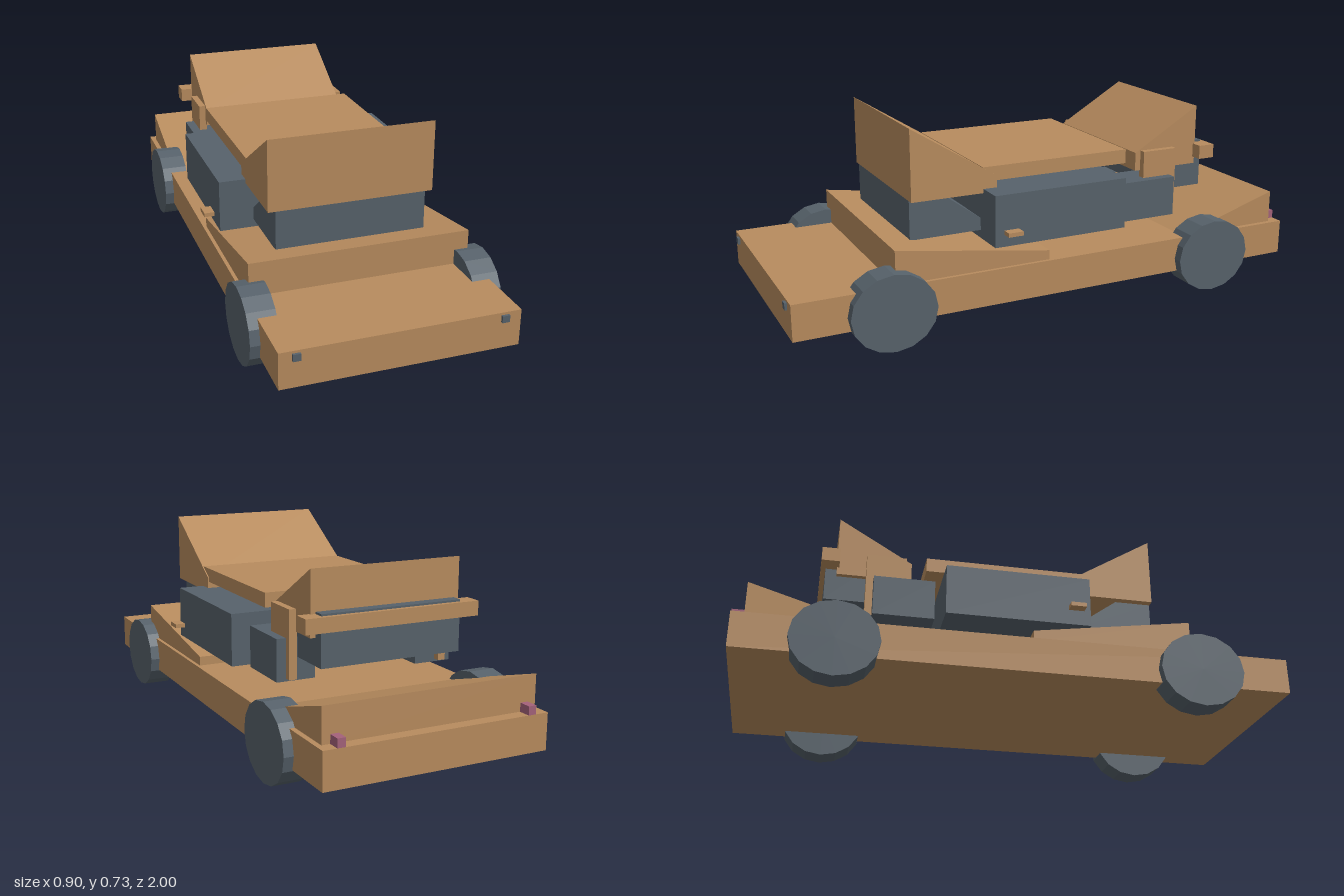
import * as THREE from 'three';

export function createModel() {
  const model = new THREE.Group();
  const mat = (name, color) => {
    const m = new THREE.MeshStandardMaterial({ color });
    m.name = name;
    return m;
  };
  const tan = mat('tan body', 0xb88c5e);
  const slate = mat('slate grey', 0x57626b);
  const pink = mat('tail light pink', 0xa4627a);

  const add = (name, geometry, material) => {
    const mesh = new THREE.Mesh(geometry, material);
    mesh.name = name;
    model.add(mesh);
    return mesh;
  };
  // Box given by its limits on each axis
  const box = (name, material, [x0, x1], [y0, y1], [z0, z1]) => {
    const g = new THREE.BoxGeometry(x1 - x0, y1 - y0, z1 - z0);
    g.translate((x0 + x1) / 2, (y0 + y1) / 2, (z0 + z1) / 2);
    return add(name, g, material);
  };
  // Box on both sides of the car
  const pair = (name, material, [x0, x1], ys, zs) => {
    box('left' + name, material, [x0, x1], ys, zs);
    box('right' + name, material, [-x1, -x0], ys, zs);
  };
  // Side profile of (z, y) points, extruded across the width
  const profile = (name, material, halfWidth, points) => {
    const shape = new THREE.Shape(points.map(([z, y]) => new THREE.Vector2(-z, y)));
    const g = new THREE.ExtrudeGeometry(shape, { depth: halfWidth * 2, bevelEnabled: false });
    g.translate(0, 0, -halfWidth);
    g.rotateY(Math.PI / 2);
    return add(name, g, material);
  };

  // Lower body with sloping bonnet and boot
  box('chassis', tan, [-0.415, 0.415], [0.09, 0.221], [-1, 0.988]);
  profile('bonnet', tan, 0.402, [[0.625, 0.215], [0.625, 0.344], [0.04, 0.255], [0.04, 0.215]]);
  profile('boot', tan, 0.396, [[-0.955, 0.215], [-0.955, 0.344], [-0.54, 0.221], [-0.54, 0.215]]);

  // Cabin glass
  box('sideWindows', slate, [-0.4, 0.4], [0.295, 0.485], [-0.275, 0.253]);
  profile('windscreen', slate, 0.275, [[0.524, 0.325], [0.524, 0.47], [0.39, 0.47], [0.19, 0.325]]);
  pair('RearSideWindow', slate, [0.2, 0.343], [0.295, 0.445], [-0.527, -0.307]);
  box('rearWindow', slate, [-0.265, 0.265], [0.375, 0.556], [-0.698, -0.5]);

  // Roof, its two upswept ends and the rear pillars
  box('roof', tan, [-0.298, 0.298], [0.51, 0.563], [-0.335, 0.253]);
  profile('frontRoofWedge', tan, 0.302, [[0.525, 0.47], [0.525, 0.73], [0.2, 0.528], [0.2, 0.47]]);
  profile('rearRoofWedge', tan, 0.284, [[-0.658, 0.47], [-0.658, 0.698], [-0.388, 0.54], [-0.388, 0.47]]);
  pair('RearPillar', tan, [0.28, 0.309], [0.305, 0.547], [-0.553, -0.41]);
  box('rearSpoiler', tan, [-0.329, 0.329], [0.497, 0.549], [-0.715, -0.65]);

  // Mirrors and lights
  pair('Mirror', tan, [0.413, 0.45], [0.345, 0.36], [0.168, 0.225]);
  pair('Headlight', slate, [0.343, 0.37], [0.187, 0.212], [0.98, 0.997]);
  pair('TailLight', pink, [0.337, 0.366], [0.221, 0.252], [-1, -0.955]);

  // Slightly flattened, sixteen-sided wheels
  const wheel = new THREE.CylinderGeometry(1, 1, 0.1, 16).toNonIndexed();
  wheel.rotateZ(Math.PI / 2);
  wheel.scale(1, 0.139, 0.155);
  wheel.computeVertexNormals();
  for (const [end, z] of [['front', 0.646], ['rear', -0.652]]) {
    for (const [side, x] of [['Left', 0.4], ['Right', -0.4]]) {
      add(end + side + 'Wheel', wheel, slate).position.set(x, 0.14, z);
    }
  }
  return model;
}
